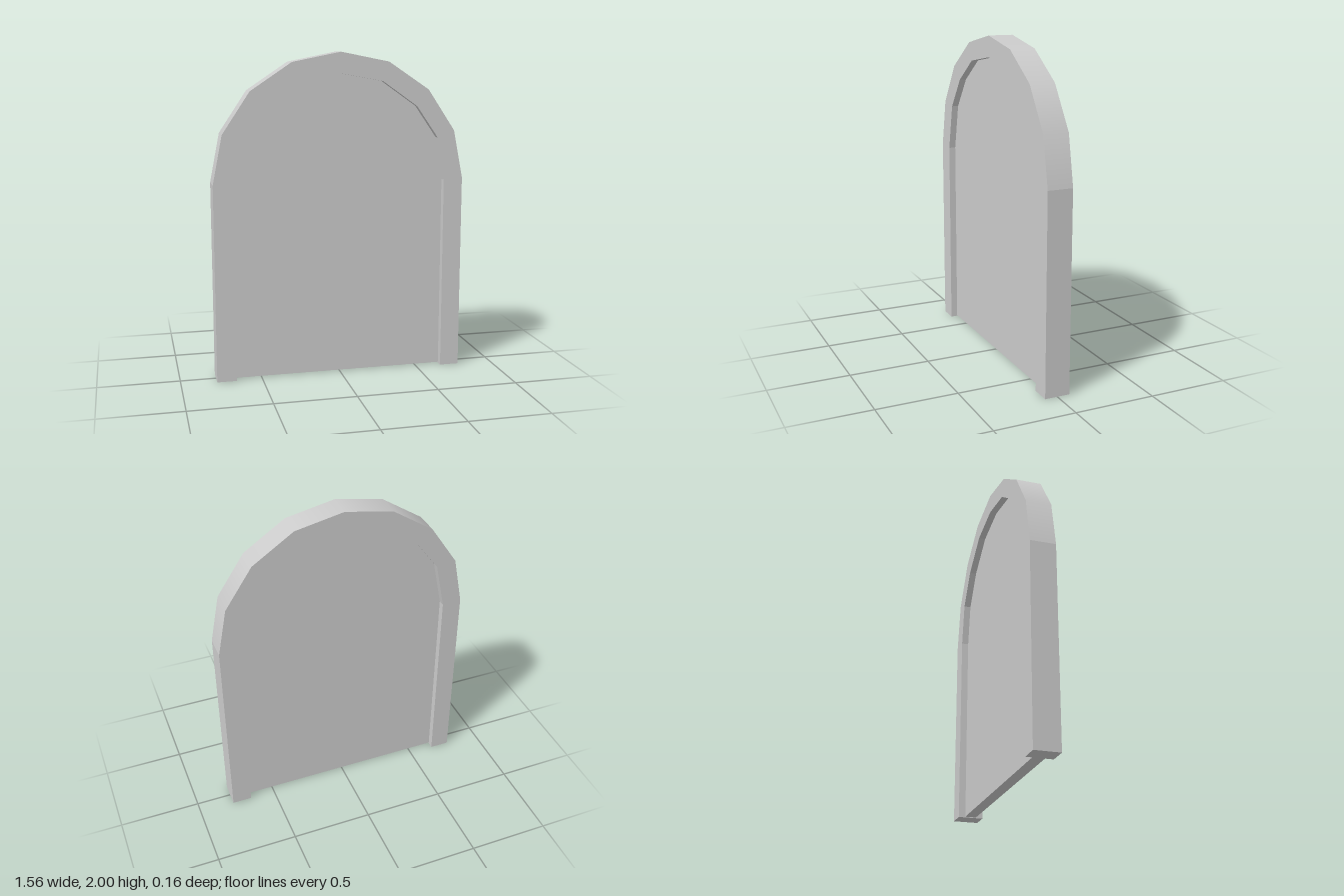
import * as THREE from 'three';

const R = 0.78;          // outer arch radius
const SPRING = 1.22;     // height where the arch begins
const DEPTH = 0.156;     // frame thickness
const PANEL = 0.07;      // panel thickness
const SEGMENTS = 8;

// Inner arch line, right foot over the crown to the left foot (slightly uneven)
const inner = [
  [0.66, 1.21], [0.615, 1.475], [0.48, 1.67], [0.26, 1.825], [0, 1.872],
  [-0.26, 1.83], [-0.46, 1.69], [-0.6, 1.5], [-0.66, 1.21],
].map(([x, y]) => new THREE.Vector2(x, y));

function extrude(points, depth) {
  const geo = new THREE.ExtrudeGeometry(new THREE.Shape(points), { depth, bevelEnabled: false, steps: 1 });
  return geo.translate(0, 0, -depth / 2);
}

// Rounds the shading over the outer arch, leaving the straight sides flat
function smoothArch(geo) {
  const p = geo.attributes.position, n = geo.attributes.normal;
  const half = Math.PI / SEGMENTS / 2;
  const onArch = (i) => p.getY(i) > SPRING - 1e-4 &&
    Math.abs(Math.hypot(p.getX(i), p.getY(i) - SPRING) - R) < 1e-4;
  for (let i = 0; i < p.count; i += 3) {
    if (Math.abs(n.getZ(i)) > 0.5 || ![i, i + 1, i + 2].every(onArch)) continue;
    for (let k = i; k < i + 3; k++) {
      const a = THREE.MathUtils.clamp(Math.atan2(p.getY(k) - SPRING, p.getX(k)), half, Math.PI - half);
      n.setXYZ(k, Math.cos(a), Math.sin(a), 0);
    }
  }
  return geo;
}

export function createModel() {
  const group = new THREE.Group();
  group.name = 'archedDoor';
  const material = new THREE.MeshStandardMaterial({ color: 0xcccccc });

  // Frame: outer arch, then back along the inner arch
  const outer = [new THREE.Vector2(R, 0)];
  for (let i = 0; i <= SEGMENTS; i++) {
    const a = (Math.PI * i) / SEGMENTS;
    outer.push(new THREE.Vector2(R * Math.cos(a), SPRING + R * Math.sin(a)));
  }
  outer.push(new THREE.Vector2(-R, 0));
  const opening = [new THREE.Vector2(-0.66, 0), ...[...inner].reverse(), new THREE.Vector2(0.66, 0)];
  const frame = new THREE.Mesh(smoothArch(extrude([...outer, ...opening], DEPTH)), material);
  frame.name = 'frame';
  group.add(frame);

  // Panel: recessed equally on both faces
  const foot = 0.005;
  const panelOutline = [new THREE.Vector2(0.66, foot), ...inner, new THREE.Vector2(-0.66, foot)];
  const panel = new THREE.Mesh(extrude(panelOutline, PANEL), material);
  panel.name = 'panel';
  group.add(panel);

  return group;
}
